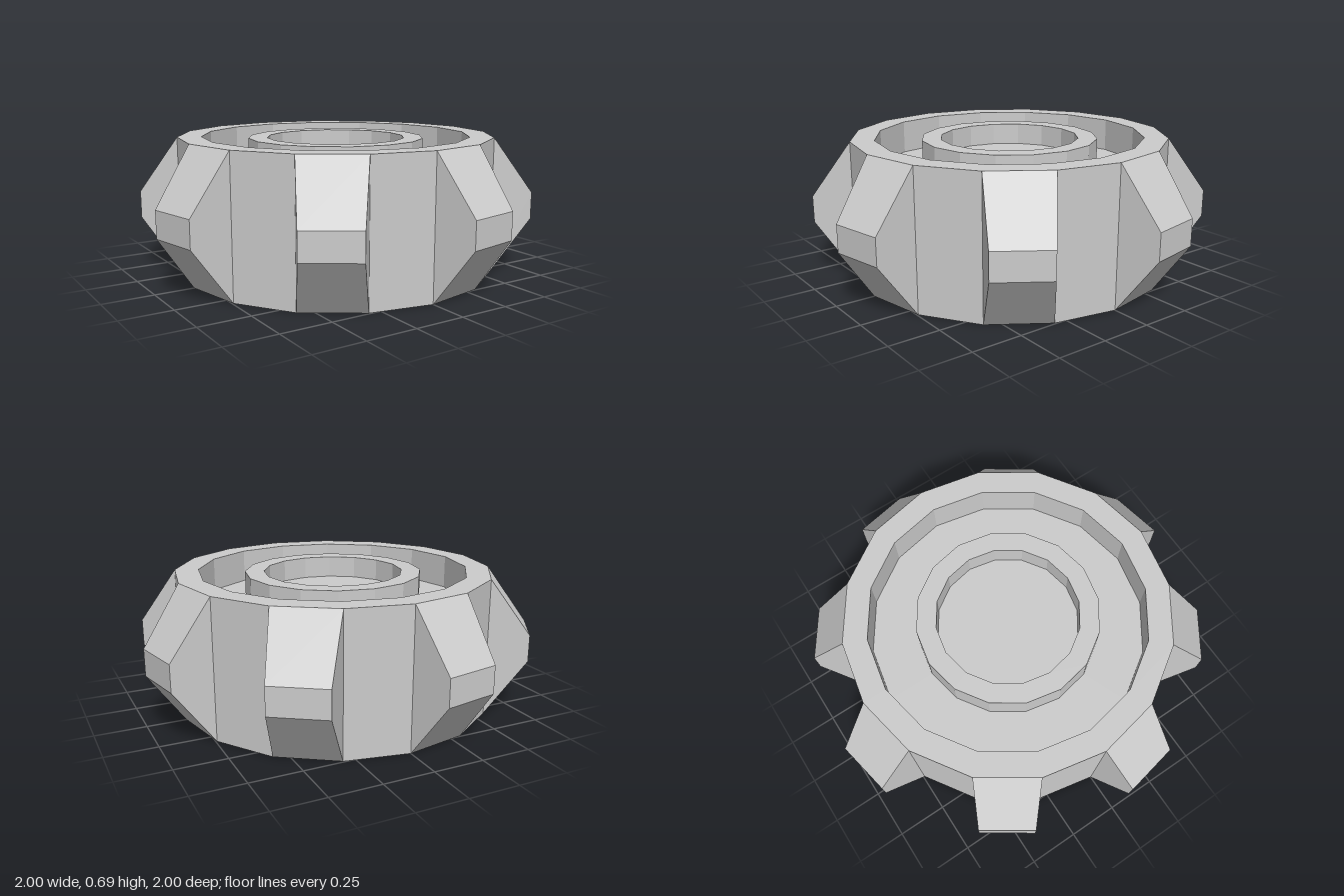
import * as THREE from 'three';

const SIDES = 16;
const TEETH = 8;
const HEIGHT = 0.692;
const RADIUS = 0.805;
const TIP_REACH = 0.992;

const material = new THREE.MeshStandardMaterial({ color: 0xcccccc, flatShading: true });

// Revolves a lower half profile (axis outwards) and its mirror image about mid height
function symmetricLathe(name, lower) {
  const upper = lower.map(([r, y]) => [r, HEIGHT - y]).reverse();
  const points = [...lower, ...upper].map(([r, y]) => new THREE.Vector2(r, y));
  const mesh = new THREE.Mesh(new THREE.LatheGeometry(points, SIDES), material);
  mesh.name = name;
  return mesh;
}

// Tooth: a box whose outer end is narrowed, based on one flat of the rim
function toothGeometry() {
  const half = Math.PI / SIDES;
  const base = { x: RADIUS * Math.sin(half), y: HEIGHT / 2, z: RADIUS * Math.cos(half) };
  const tip = { x: 0.137, y: 0.067, z: TIP_REACH };
  const geometry = new THREE.BoxGeometry(2, 2, 2);
  const p = geometry.attributes.position;
  for (let i = 0; i < p.count; i++) {
    const end = p.getZ(i) > 0 ? tip : base;
    p.setXYZ(i, p.getX(i) * end.x, HEIGHT / 2 + p.getY(i) * end.y, end.z);
  }
  geometry.computeVertexNormals();
  return geometry;
}

export function createModel() {
  const model = new THREE.Group();
  model.name = 'gearWheel';

  // Rim with the recessed web between rim and hub
  model.add(symmetricLathe('rim', [[0, 0.17], [0.685, 0.17], [0.685, 0], [RADIUS, 0]]));

  // Hub ring with a shallow recess on both faces
  model.add(symmetricLathe('hub', [[0, 0.122], [0.353, 0.122], [0.353, 0.012], [0.45, 0.012]]));

  // Teeth on every second flat
  const teeth = new THREE.Group();
  teeth.name = 'teeth';
  const geometry = toothGeometry();
  for (let i = 0; i < TEETH; i++) {
    const tooth = new THREE.Mesh(geometry, material);
    tooth.name = 'tooth';
    tooth.rotation.y = Math.PI / SIDES + (i * 2 * Math.PI) / TEETH;
    teeth.add(tooth);
  }
  model.add(teeth);

  return model;
}
